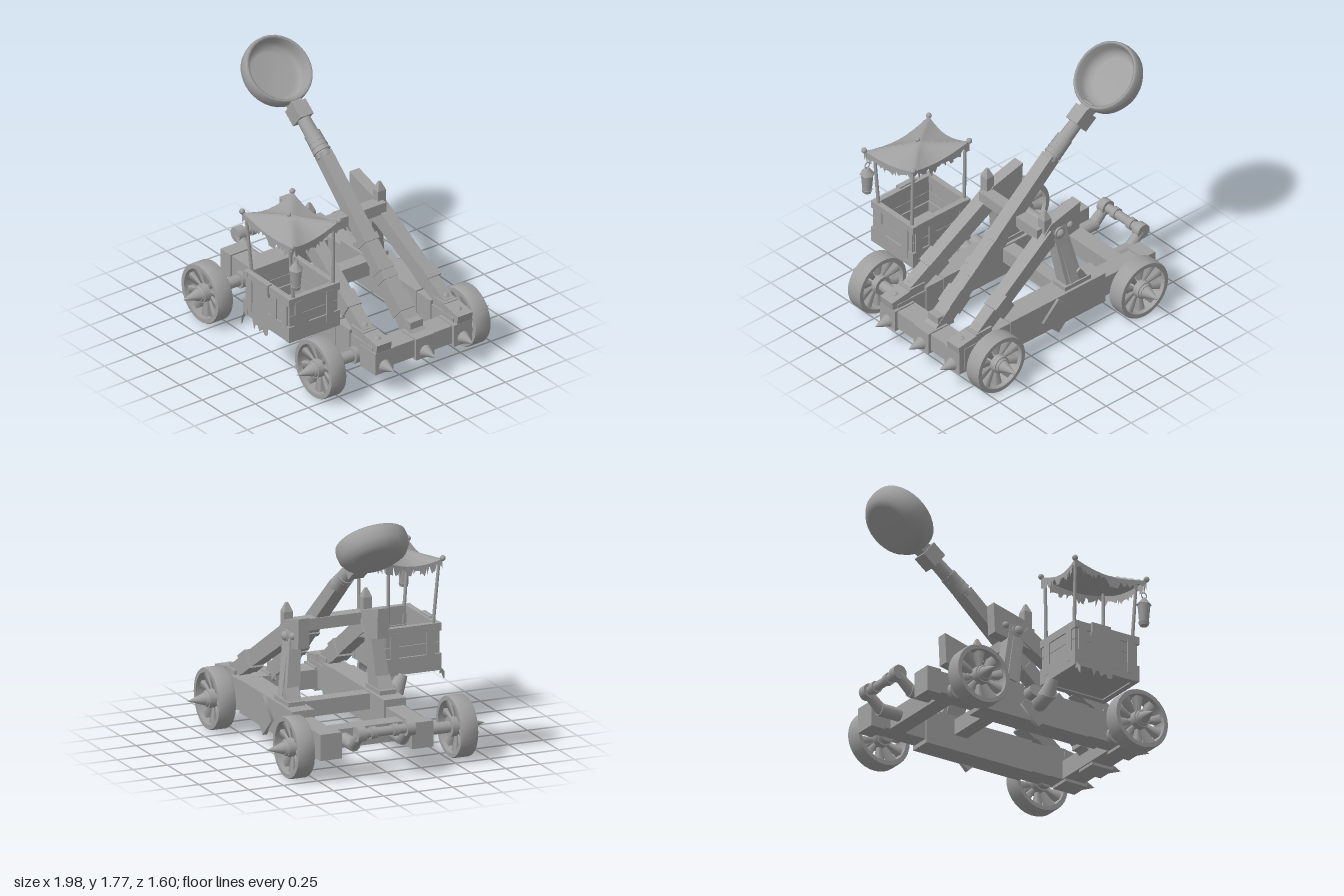
import * as THREE from 'three';
import { toCreasedNormals } from 'three/addons/utils/BufferGeometryUtils.js';

export function createModel() {
  const root = new THREE.Group();
  const wood = new THREE.MeshStandardMaterial({ color: 0xa0a0a0, side: THREE.DoubleSide });
  wood.name = 'weathered grey';
  const V = (x, y, z) => new THREE.Vector3(x, y, z);
  let seed = 7;
  const rand = () => (seed = (seed * 16807) % 2147483647) / 2147483647;

  function add(name, geo, x = 0, y = 0, z = 0, parent = root) {
    const m = new THREE.Mesh(geo, wood);
    m.name = name;
    m.position.set(x, y, z);
    parent.add(m);
    return m;
  }
  const box = (name, x0, x1, y0, y1, z0, z1) => add(name,
    new THREE.BoxGeometry(x1 - x0, y1 - y0, z1 - z0), (x0 + x1) / 2, (y0 + y1) / 2, (z0 + z1) / 2);

  // Rectangular timber from p to q; w is sideways, h is across; end scales by taper
  function beam(name, p, q, w, h, taper = 1) {
    const d = q.clone().sub(p), len = d.length();
    d.normalize();
    const up = Math.abs(d.y) > 0.8 ? V(-1, 0, 0) : V(0, 1, 0);
    const side = d.clone().cross(up).normalize();
    const geo = new THREE.BoxGeometry(len, h, w), a = geo.attributes.position;
    for (let i = 0; i < a.count; i++) if (a.getX(i) > 0) a.setXYZ(i, a.getX(i), a.getY(i) * taper, a.getZ(i) * taper);
    geo.computeVertexNormals();
    geo.applyMatrix4(new THREE.Matrix4().makeBasis(d, side.clone().cross(d), side));
    const c = p.clone().add(q).multiplyScalar(0.5);
    return add(name, geo, c.x, c.y, c.z);
  }
  // Round rod from p to q
  function rod(name, p, q, r0, r1 = r0, sides = 12, parent = root) {
    const d = q.clone().sub(p), geo = new THREE.CylinderGeometry(r1, r0, d.length(), sides);
    geo.applyQuaternion(new THREE.Quaternion().setFromUnitVectors(V(0, 1, 0), d.normalize()));
    const c = p.clone().add(q).multiplyScalar(0.5);
    return add(name, geo, c.x, c.y, c.z, parent);
  }
  const knob = (name, x, y, z, r = 0.03) => add(name, new THREE.SphereGeometry(r, 12, 8), x, y, z);
  // Hanging cloth with a torn lower edge
  function tornCloth(name, p, q, drop, vary, n) {
    const v = [], low = [];
    for (let i = 0; i <= n; i++) low.push(drop + (rand() - 0.5) * 2 * vary);
    for (let i = 0; i < n; i++) {
      const a = p.clone().lerp(q, i / n), b = p.clone().lerp(q, (i + 1) / n);
      const c = a.clone(), d = b.clone();
      c.y -= low[i]; d.y -= low[i + 1];
      for (const k of [a, c, d, a, d, b]) v.push(k.x, k.y, k.z);
    }
    const geo = new THREE.BufferGeometry();
    geo.setAttribute('position', new THREE.Float32BufferAttribute(v, 3));
    geo.computeVertexNormals();
    add(name, geo);
  }

  // Chassis and throwing frame, one per side
  for (const s of [1, -1]) {
    const z = s > 0 ? 0.225 : -0.44, zt = s > 0 ? 0.2 : -0.375;
    box('sideBeam', -0.39, 0.45, 0.15, 0.38, z - 0.08, z + 0.08);
    box('sideBeamRear', -0.83, -0.38, 0.18, 0.33, z - 0.065, z + 0.065);
    box('rearCap', -0.83, -0.72, 0.16, 0.34, z - 0.078, z + 0.078);
    box('sideBeamFront', 0.44, 0.84, 0.17, 0.34, z - 0.065, z + 0.065);
    box('frontCuff', 0.42, 0.6, 0.16, 0.37, z - 0.075, z + 0.075);
    box('braceFoot', 0.59, 0.73, 0.33, 0.4, z - 0.055, z + 0.055);
    knob('braceBolt', 0.66, 0.4, z, 0.035);
    knob('smallBolt', 0.81, 0.37, z, 0.025);
    beam('cornerBracket', V(0.72, 0.345, z), V(0.88, 0.32, z), 0.12, 0.1);
    // Leaning upright with foot and raised edges
    box('uprightFoot', -0.28, -0.05, 0.37, 0.41, z - 0.06, z + 0.06);
    beam('upright', V(-0.15, 0.38, z), V(-0.07, 0.85, zt), 0.1, 0.14, 0.8);
    beam('uprightPanel', V(-0.14, 0.42, z + s * 0.045), V(-0.08, 0.76, zt + s * 0.04), 0.03, 0.07, 0.8);
    beam('uprightStrut', V(-0.23, 0.39, z), V(-0.17, 0.48, z), 0.1, 0.06);
    // Brace with heavy head
    const head = new THREE.Shape([[-0.26, 0.97], [-0.25, 0.76], [0.04, 0.7], [0.07, 0.82], [0.0, 0.9]]
      .map(p => new THREE.Vector2(...p)));
    add('braceHead', new THREE.ExtrudeGeometry(head, { depth: 0.08, bevelEnabled: false }), 0, 0, zt - 0.04);
    beam('brace', V(-0.02, 0.81, zt), V(0.68, 0.36, z), 0.1, 0.12, 0.85);
    beam('braceCuff', V(0.42, 0.525, z - s * 0.01), V(0.52, 0.46, z - s * 0.005), 0.11, 0.13);
    knob('pivotBolt', -0.07, 0.81, zt + s * 0.045, 0.035);
    rod('pivotPin', V(-0.07, 0.81, zt), V(-0.07, 0.81, zt + s * 0.055), 0.045);
    knob('headBolt', -0.165, 0.83, zt + s * 0.038, 0.025);
    // Pointed post beside the arm axle
    const tip = s > 0 ? 1.04 : 1.01;
    beam('post', V(0.02, 0.74, zt), V(0.02, tip - 0.06, zt), 0.065, 0.06);
    beam('postTip', V(0.02, tip - 0.06, zt), V(0.02, tip, zt), 0.065, 0.06, 0.25);
    // Diamond plate
    const plate = add('diamondPlate', new THREE.CylinderGeometry(0.135, 0.135, 0.03, 4), 0.04, 0.245, z + s * 0.085);
    plate.rotation.x = Math.PI / 2;
  }

  // Cross members
  box('frontCrossBeam', 0.7, 0.86, 0.17, 0.3, -0.5, 0.28);
  box('rearCrossBeam', -0.67, -0.55, 0.18, 0.31, -0.42, 0.2);
  box('middleCrossBeam', -0.17, -0.07, 0.26, 0.37, -0.4, 0.18);
  box('upperCrossBar', 0.0, 0.09, 0.8, 0.88, -0.38, 0.2);
  for (const z of [0.22, -0.115, -0.425]) {
    box('ramBlock', 0.71, 0.88, 0.15, 0.31, z - 0.075, z + 0.075);
    rod('ramSpike', V(0.88, 0.2, z), V(0.99, 0.2, z), 0.045, 0);
  }

  // Throwing arm
  const za = -0.12;
  const armAt = x => V(x, 0.95 - 0.885 * x, za);
  beam('armBeam', armAt(0.78), armAt(-0.26), 0.11, 0.105, 0.85);
  rod('armNeck', V(-0.24, 1.16, za), V(-0.53, 1.38, za), 0.055, 0.045);
  beam('armCollar', V(-0.48, 1.335, za), V(-0.57, 1.405, za), 0.11, 0.13);
  beam('armSocket', V(-0.56, 1.4, za), V(-0.61, 1.425, za), 0.08, 0.08);
  for (let i = 0; i < 4; i++)
    rod('ropeWrap', V(-0.27 - i * 0.028, 1.185 + i * 0.022, za), V(-0.3 - i * 0.028, 1.207 + i * 0.022, za), 0.064 - i * 0.002, 0.058);
  for (const x of [0.46, 0.41, 0.25]) beam('lowerWrap', armAt(x), armAt(x - 0.035), 0.12, 0.115);
  beam('armFootCuff', armAt(0.64), armAt(0.54), 0.12, 0.13);
  box('armFoot', 0.64, 0.78, 0.28, 0.38, za - 0.05, za + 0.05);

  // Deep dish with nearly upright walls
  const bowlProfile = [[0, -0.15], [0.17, -0.15], [0.212, -0.128], [0.24, -0.085], [0.247, -0.035], [0.242, 0.005], [0.232, 0.014],
    [0.218, 0.005], [0.215, -0.05], [0.195, -0.09], [0.16, -0.105], [0, -0.11]].map(p => new THREE.Vector2(...p));
  const bowl = add('bowl', new THREE.LatheGeometry(bowlProfile, 32), -0.745, 1.602, -0.115);
  bowl.rotation.z = -0.74;

  // Wheels with axle, spokes and hub spike
  const rimProfile = [[0.176, -0.06], [0.205, -0.06], [0.21, -0.05], [0.21, 0.05], [0.205, 0.06], [0.176, 0.06],
    [0.176, -0.06]].map(p => new THREE.Vector2(...p));
  const rim = toCreasedNormals(new THREE.LatheGeometry(rimProfile, 36), 0.5).rotateX(Math.PI / 2);
  for (const x of [-0.605, 0.655]) {
    for (const s of [1, -1]) {
      const wheel = new THREE.Group();
      wheel.name = 'wheel';
      wheel.position.set(x, 0.21, s > 0 ? 0.578 : -0.607);
      root.add(wheel);
      add('rim', rim, 0, 0, 0, wheel);
      for (let i = 0; i < 10; i++) {
        const a = (i + 0.5) * Math.PI / 5, c = Math.cos(a), n = Math.sin(a);
        const spoke = add('spoke', new THREE.CylinderGeometry(0.042, 0.016, 0.14, 4, 1).rotateY(Math.PI / 4), c * 0.115, n * 0.115, 0, wheel);
        spoke.rotation.z = a - Math.PI / 2;
      }
      rod('hub', V(0, 0, -s * 0.06), V(0, 0, s * 0.06), 0.068, 0.062, 16, wheel);
      rod('hubCap', V(0, 0, s * 0.06), V(0, 0, s * 0.075), 0.055, 0.048, 16, wheel);
      rod('hubSpike', V(0, 0, s * 0.07), V(0, 0, s * 0.2), 0.045, 0, 16, wheel);
      const zb = s > 0 ? 0.28 : -0.5;
      rod('axle', V(x, 0.21, zb), V(x, 0.21, zb + s * (s > 0 ? 0.28 : 0.1)), 0.04);
      rod('axleCollar', V(x, 0.21, zb), V(x, 0.21, zb + s * 0.045), 0.058);
    }
  }

  // Windlass at the rear
  rod('windlass', V(-0.92, 0.34, -0.3), V(-0.92, 0.34, 0.11), 0.032);
  for (const z of [-0.27, 0.085]) {
    rod('windlassEnd', V(-0.92, 0.34, z - 0.03), V(-0.92, 0.34, z + 0.03), 0.052, 0.052, 16);
    rod('windlassArm', V(-0.92, 0.33, z), V(-0.8, 0.23, z), 0.034, 0.042);
    rod('windlassMount', V(-0.83, 0.24, z), V(-0.65, 0.24, z), 0.045);
  }
  for (const z of [-0.18, -0.02]) rod('windlassRing', V(-0.92, 0.34, z - 0.02), V(-0.92, 0.34, z + 0.02), 0.042);

  // Open basket of planks
  box('basketFloor', 0.06, 0.53, 0.41, 0.44, 0.37, 0.73);
  for (const [y0, y1, o] of [[0.4, 0.515, 0.014], [0.518, 0.592, 0], [0.595, 0.668, 0], [0.67, 0.725, 0.014]]) {
    for (const z of [0.365, 0.735]) box('basketPlank', 0.055 - o, 0.535 + o, y0, y1, z - 0.013 - o / 2, z + 0.013 + o / 2);
    for (const x of [0.06, 0.53]) box('basketPlank', x - 0.013 - o / 2, x + 0.013 + o / 2, y0, y1, 0.355 - o, 0.745 + o);
  }
  for (const x of [0.1, 0.37, 0.49]) for (const z of [0.352, 0.75]) box('basketBatten', x - 0.03, x + 0.03, 0.45, 0.69, z - 0.007, z + 0.007);
  for (const x of [0.045, 0.545]) for (const z of [0.42, 0.68]) box('sideBatten', x - 0.007, x + 0.007, 0.45, 0.69, z - 0.03, z + 0.03);
  // Stout carved support between side beam and basket
  rod('basketSupport', V(0.04, 0.27, 0.29), V(0.05, 0.32, 0.46), 0.06, 0.05);
  rod('basketSpike', V(0.04, 0.29, 0.42), V(0.05, 0.4, 0.48), 0.06, 0.035);
  rod('supportRing', V(-0.02, 0.33, 0.31), V(-0.02, 0.34, 0.38), 0.05, 0.045);
  box('clothFold', 0.17, 0.32, 0.64, 0.735, 0.73, 0.768);
  tornCloth('frontCloth', V(0.16, 0.66, 0.772), V(0.33, 0.66, 0.772), 0.29, 0.035, 9);
  tornCloth('sideCloth', V(0.558, 0.6, 0.6), V(0.558, 0.6, 0.72), 0.17, 0.03, 5);
  tornCloth('cornerCloth', V(0.05, 0.43, 0.75), V(0.06, 0.38, 0.79), 0.05, 0.015, 3);

  // Canopy on four posts
  const corners = [V(0.04, 1.185, 0.355), V(0.545, 1.185, 0.345), V(0.6, 1.15, 0.77), V(0.035, 1.165, 0.765)];
  const feet = [V(0.065, 0.6, 0.38), V(0.525, 0.6, 0.38), V(0.525, 0.6, 0.7), V(0.07, 0.6, 0.7)];
  const posts = [V(0.055, 1.17, 0.38), V(0.52, 1.18, 0.375), V(0.535, 1.13, 0.745), V(0.05, 1.15, 0.745)];
  const canopy = new THREE.PlaneGeometry(2, 2, 16, 16).rotateX(-Math.PI / 2), cp = canopy.attributes.position;
  const peak = V(0.3, 1.2, 0.575);
  function canopyPoint(u, v) {
    const a = corners[0].clone().lerp(corners[1], (u + 1) / 2), b = corners[3].clone().lerp(corners[2], (u + 1) / 2);
    const p = a.lerp(b, (v + 1) / 2);
    const m = Math.max(Math.abs(u), Math.abs(v)), k = m ? Math.min(Math.abs(u), Math.abs(v)) / m : 0;
    const edge = p.y - 0.045 * (1 - k * k);
    const pull = 1 - 0.07 * m * (1 - k * k);
    return V(peak.x + (p.x - peak.x) * pull, peak.y + (edge - peak.y) * Math.pow(m, 0.85), peak.z + (p.z - peak.z) * pull);
  }
  for (let i = 0; i < cp.count; i++) cp.setXYZ(i, ...canopyPoint(cp.getX(i), cp.getZ(i)).toArray());
  canopy.computeVertexNormals();
  add('canopy', canopy);
  knob('canopyPeak', peak.x, peak.y + 0.003, peak.z, 0.015);
  const uv = [[-1, -1], [1, -1], [1, 1], [-1, 1]];
  for (let i = 0; i < 4; i++) {
    rod('canopyPost', feet[i], posts[i], 0.013, 0.011, 8);
    knob('canopyKnot', corners[i].x, corners[i].y + 0.005, corners[i].z, 0.02);
    const p = uv[i], q = uv[(i + 1) % 4];
    const at = t => canopyPoint(p[0] + (q[0] - p[0]) * t, p[1] + (q[1] - p[1]) * t);
    for (let j = 0; j < 8; j++) tornCloth('canopyFringe', at(j / 8), at((j + 1) / 8), 0.05, 0.032, 3);
  }

  // Hanging lantern
  const lx = 0.6, lz = 0.74;
  add('lanternRing', new THREE.TorusGeometry(0.02, 0.004, 6, 16), lx, 1.05, lz);
  rod('lanternHook', V(lx, 1.07, lz), V(lx, 1.14, lz + 0.01), 0.004, 0.004, 6);
  rod('lanternRoof', V(lx, 0.98, lz), V(lx, 1.03, lz), 0.052, 0.012, 6);
  rod('lanternBody', V(lx, 0.85, lz), V(lx, 0.98, lz), 0.032, 0.043, 6);
  rod('lanternBase', V(lx, 0.83, lz), V(lx, 0.855, lz), 0.03, 0.038, 6);

  return root;
}
